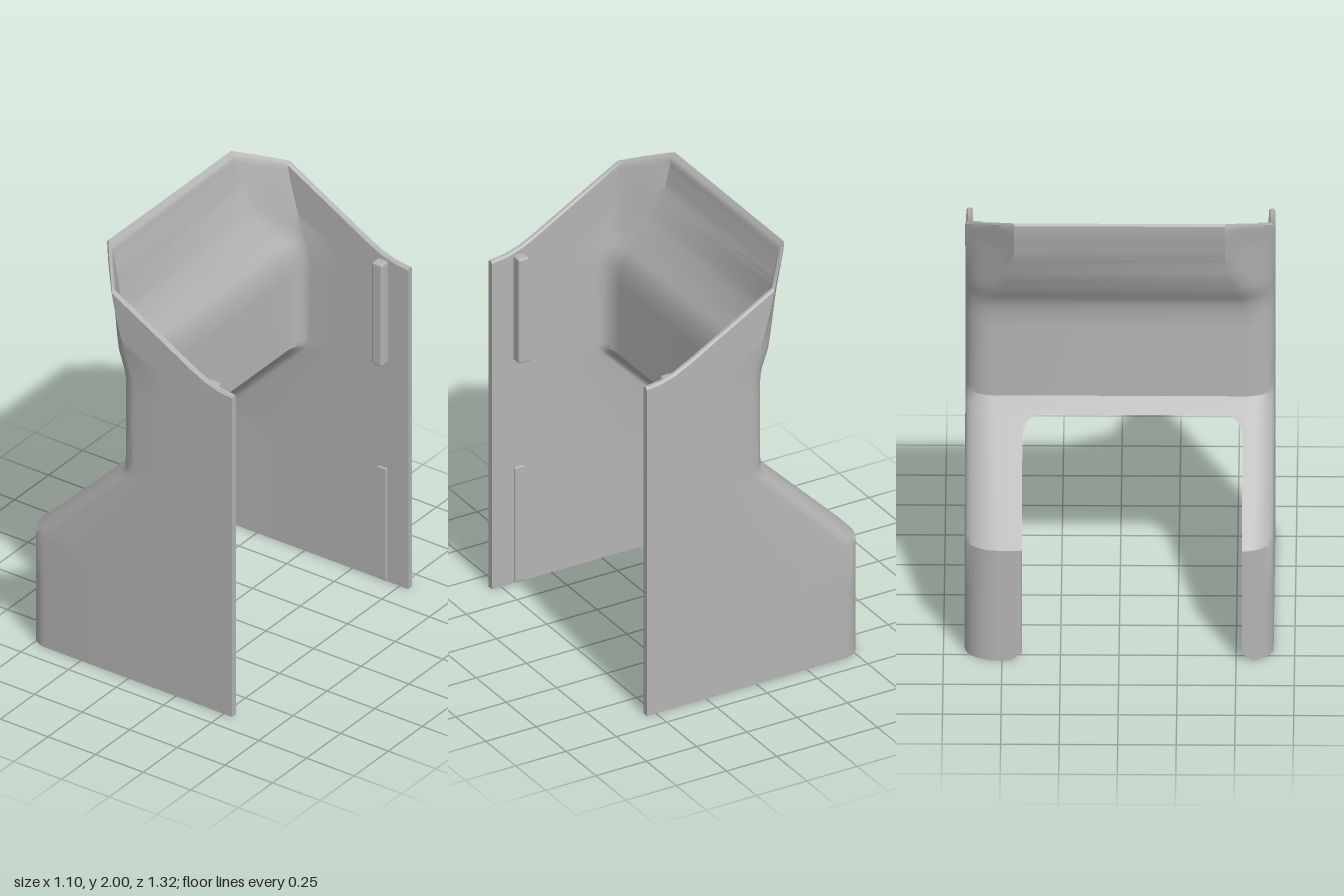
import * as THREE from 'three';
import { toCreasedNormals } from 'three/addons/utils/BufferGeometryUtils.js';
import { RoundedBoxGeometry } from 'three/addons/geometries/RoundedBoxGeometry.js';

const HALF_WIDTH = 0.66, SKIN = 0.028, JOIN = 1.03, CUT = 0.97;

// Back wall by height: y, x of wall, corner size in x and z, chamfer amount, wall thickness
const PROFILE = [
  [0, -0.55, 0.11, 0.15, 0, 0.03],
  [0.545, -0.55, 0.11, 0.15, 0, 0.034],
  [0.57, -0.525, 0.11, 0.15, 0, 0.042],
  [1.0, -0.095, 0.095, 0.125, 0, 0.042],
  [1.03, -0.066, 0.09, 0.12, 0, 0.036],
  [1.4, -0.066, 0.1, 0.12, 0, 0.032],
  [1.46, -0.073, 0.105, 0.13, 0.05, 0.032],
  [1.51, -0.087, 0.11, 0.14, 0.1, 0.032],
  [1.59, -0.138, 0.13, 0.16, 0.3, 0.034],
  [1.69, -0.19, 0.15, 0.19, 0.7, 0.032],
  [1.825, -0.235, 0.16, 0.21, 1, 0.03],
  [1.95, -0.26, 0.16, 0.21, 1, 0.028],
  [2.02, -0.265, 0.16, 0.21, 1, 0.028],
];
// Height of the slanted top rim by x
const RIM = [[-0.27, 2.0], [-0.22, 1.975], [-0.1, 1.91], [0.33, 1.667], [0.4, 1.632], [0.47, 1.61], [0.55, 1.6]];

function lookup(table, v) {
  let i = 0;
  while (i < table.length - 2 && v > table[i + 1][0]) i++;
  const t = THREE.MathUtils.clamp((v - table[i][0]) / (table[i + 1][0] - table[i][0]), 0, 1);
  return table[i].map((a, k) => a + (table[i + 1][k] - a) * t);
}

const FRONT = [0.545, 0.47, 0.4, 0.33];
const ARC = 8, COLUMNS = FRONT.length + 1 + ARC + 2;

// Point [x, z] of one column on the +z half; columns run from the front edge to the back wall
function column(i, y, inner, zEnd) {
  let [, xb, ax, az, chamfer, t] = lookup(PROFILE, y);
  const cx = xb + ax, cz = HALF_WIDTH - az;
  if (inner) { ax -= t; az -= SKIN; }
  if (i < FRONT.length) return [FRONT[i], cz + az];
  if (i === FRONT.length) return [(FRONT[FRONT.length - 1] + cx) / 2, cz + az];
  const last = Math.acos(THREE.MathUtils.clamp((zEnd - cz) / az, 0, 1));
  const f = Math.min((i - FRONT.length - 1) / ARC, 1), a = f * last;
  const x = THREE.MathUtils.lerp(cx - ax * Math.sin(a), cx - ax * f, chamfer);
  const z = THREE.MathUtils.lerp(cz + az * Math.cos(a), cz + az * (1 - f), chamfer);
  return [x, i === COLUMNS - 1 ? Math.min(z, zEnd) : z];
}

// Height at which a column meets the rim
function topOf(i, inner) {
  let y = 1.8;
  for (let k = 0; k < 14; k++) y = lookup(RIM, column(i, y, inner, 0)[0])[1];
  return y;
}

// Joins rows of closed sections (outer skin, then inner skin backwards) into a solid
function loft(rows) {
  const n = rows[0].length, half = n / 2, index = [];
  rows.slice(1).forEach((_, r) => {
    for (let i = 0; i < n; i++) {
      const a = r * n + i, b = r * n + (i + 1) % n;
      index.push(a, a + n, b, b, a + n, b + n);
    }
  });
  const end = (rows.length - 1) * n;
  for (let j = 0; j < half - 1; j++) {
    const o = j, p = j + 1, q = n - 1 - j, s = n - 2 - j;
    index.push(o, p, q, p, s, q);
    index.push(end + o, end + q, end + p, end + p, end + q, end + s);
  }
  const g = new THREE.BufferGeometry();
  g.setAttribute('position', new THREE.Float32BufferAttribute(rows.flat(2), 3));
  g.setIndex(index);
  return toCreasedNormals(g, 0.6);
}

const flip = (line) => line.map(([x, y, z]) => [x, y, -z]).reverse();
const range = (n) => Array.from({ length: n }, (_, i) => i);

// Upper shell: back wall, flared rim and both sides above the leg opening
function shellGeometry() {
  const tops = [false, true].map((inner) => range(COLUMNS - 1).map((i) => topOf(i, inner)));
  const row = (heightAt, pinch = 0) => {
    const skins = [0, 1].map((s) => range(COLUMNS - 1).map((i) => {
      const y = heightAt(tops[s][i]);
      const [x, z] = column(i, y, s === 1, 0);
      const [ox, oz] = column(i, y, s === 0, 0);
      return [x + (ox - x) * pinch, y, z + (oz - z) * pinch];
    }));
    const [outer, inner] = skins.map((line) => [...line, ...flip(line)]);
    return [...outer, ...inner.reverse()];
  };
  const rows = [row(() => CUT), row(() => 1.0)];
  for (let k = 0; k <= 36; k++) rows.push(row((top) => JOIN + (top - 0.01 - JOIN) * k / 36));
  rows.push(row((top) => top, 0.27));
  return loft(rows);
}

// Lower side panel with its inward flange, filleted into the bridge
function legGeometry(side, flange) {
  const r = 0.07, start = CUT - r;
  const levels = [0, 0.015, 0.04, 0.3, 0.545, 0.57, 0.75, start];
  for (let k = 1; k <= 8; k++) levels.push(start + r * Math.sin(k * Math.PI / 16));
  const rows = levels.map((y) => {
    let zEnd = flange;
    if (y < 0.04) zEnd += 0.045 * (1 - y / 0.04);
    if (y > start) zEnd -= r - Math.sqrt(Math.max(0, r * r - (y - start) ** 2));
    const [outer, inner] = [false, true].map((s) => {
      const line = range(COLUMNS).map((i) => {
        const [x, z] = column(i, y, s, zEnd);
        return [x, y, z];
      });
      return side > 0 ? line : flip(line);
    });
    return [...outer, ...inner.reverse()];
  });
  return loft(rows);
}

export function createModel() {
  const model = new THREE.Group();
  model.name = 'shellPanel';
  const grey = new THREE.MeshStandardMaterial({ color: 0xb4b4b4 });
  grey.name = 'plain grey';
  const add = (name, geometry, x = 0, y = 0, z = 0) => {
    const mesh = new THREE.Mesh(geometry, grey);
    mesh.name = name;
    mesh.position.set(x, y, z);
    model.add(mesh);
  };

  add('upperShell', shellGeometry());
  add('leftLegPanel', legGeometry(1, 0.525));
  add('rightLegPanel', legGeometry(-1, 0.415));

  // Guide ribs on the inner faces of the sides
  for (const [label, s] of [['left', 1], ['right', -1]]) {
    add(label + 'UpperRib', new RoundedBoxGeometry(0.055, 0.51, 0.06, 2, 0.01), 0.41, 1.345, s * 0.617);
    add(label + 'LowerRib', new RoundedBoxGeometry(0.05, 0.56, 0.014, 2, 0.006), 0.41, 0.285, s * 0.631);
  }
  return model;
}
